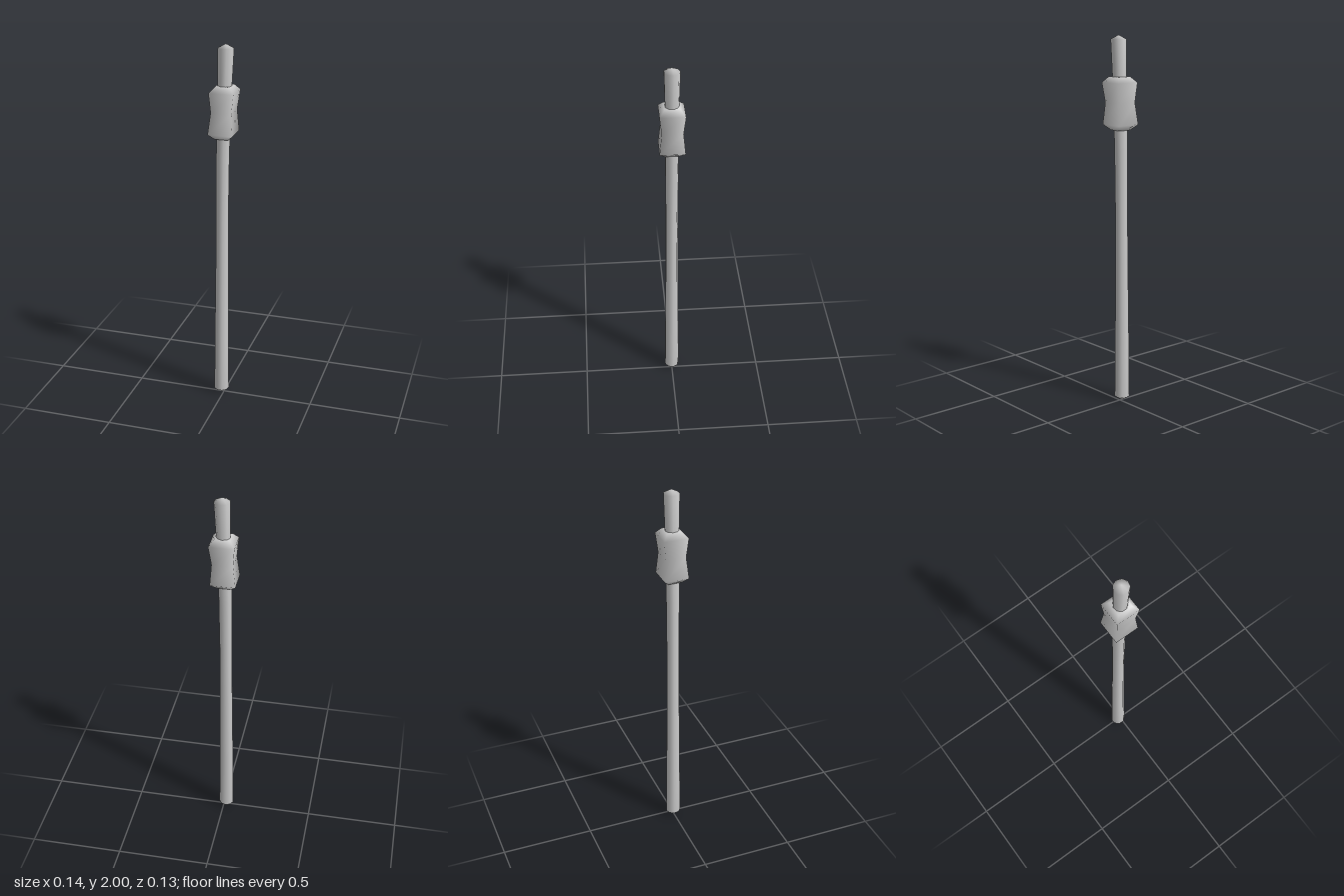
import * as THREE from 'three';

const material = new THREE.MeshStandardMaterial({ color: 0xcccccc });

// Smooth closed loft through horizontal polygon rings [y, centreX, radius], ending in a point at each end
function loft(name, rings, sides, startAngle, tipLow, tipHigh) {
  const pos = [], index = [];
  for (const [y, cx, r] of rings) {
    for (let i = 0; i < sides; i++) {
      const a = startAngle + (i / sides) * Math.PI * 2;
      pos.push(cx + r * Math.sin(a), y, r * Math.cos(a));
    }
  }
  const last = (rings.length - 1) * sides;
  const low = rings.length * sides, high = low + 1;
  pos.push(rings[0][1], tipLow, 0, rings[rings.length - 1][1], tipHigh, 0);
  for (let i = 0; i < sides; i++) {
    const j = (i + 1) % sides;
    for (let k = 0; k < last; k += sides) {
      const a = k + i, b = k + j, c = b + sides, d = a + sides;
      index.push(a, b, c, a, c, d);
    }
    index.push(low, j, i, high, last + i, last + j);
  }
  const geometry = new THREE.BufferGeometry();
  geometry.setAttribute('position', new THREE.Float32BufferAttribute(pos, 3));
  geometry.setIndex(index);
  geometry.computeVertexNormals();
  const mesh = new THREE.Mesh(geometry, material);
  mesh.name = name;
  return mesh;
}

export function createModel() {
  const group = new THREE.Group();
  group.name = 'staff';

  // Slightly bent nine-sided pole, thinnest in the middle, with shallow pointed ends
  group.add(loft('pole', [
    [0.024, -0.015, 0.041],
    [0.35, -0.015, 0.038],
    [0.7, -0.013, 0.035],
    [1.05, -0.011, 0.033],
    [1.4, -0.008, 0.035],
    [1.6, -0.003, 0.036],
    [1.78, 0.003, 0.037],
    [1.978, 0.009, 0.042],
  ], 9, Math.PI, 0, 2));

  // Square waisted collar; the radius reaches the corners
  const q = Math.SQRT2;
  group.add(loft('collar', [
    [1.505, -0.005, 0.036 * q],
    [1.535, -0.004, 0.066 * q],
    [1.65, -0.001, 0.055 * q],
    [1.755, 0.002, 0.066 * q],
    [1.785, 0.003, 0.04 * q],
  ], 4, Math.PI / 4, 1.505, 1.785));

  return group;
}
